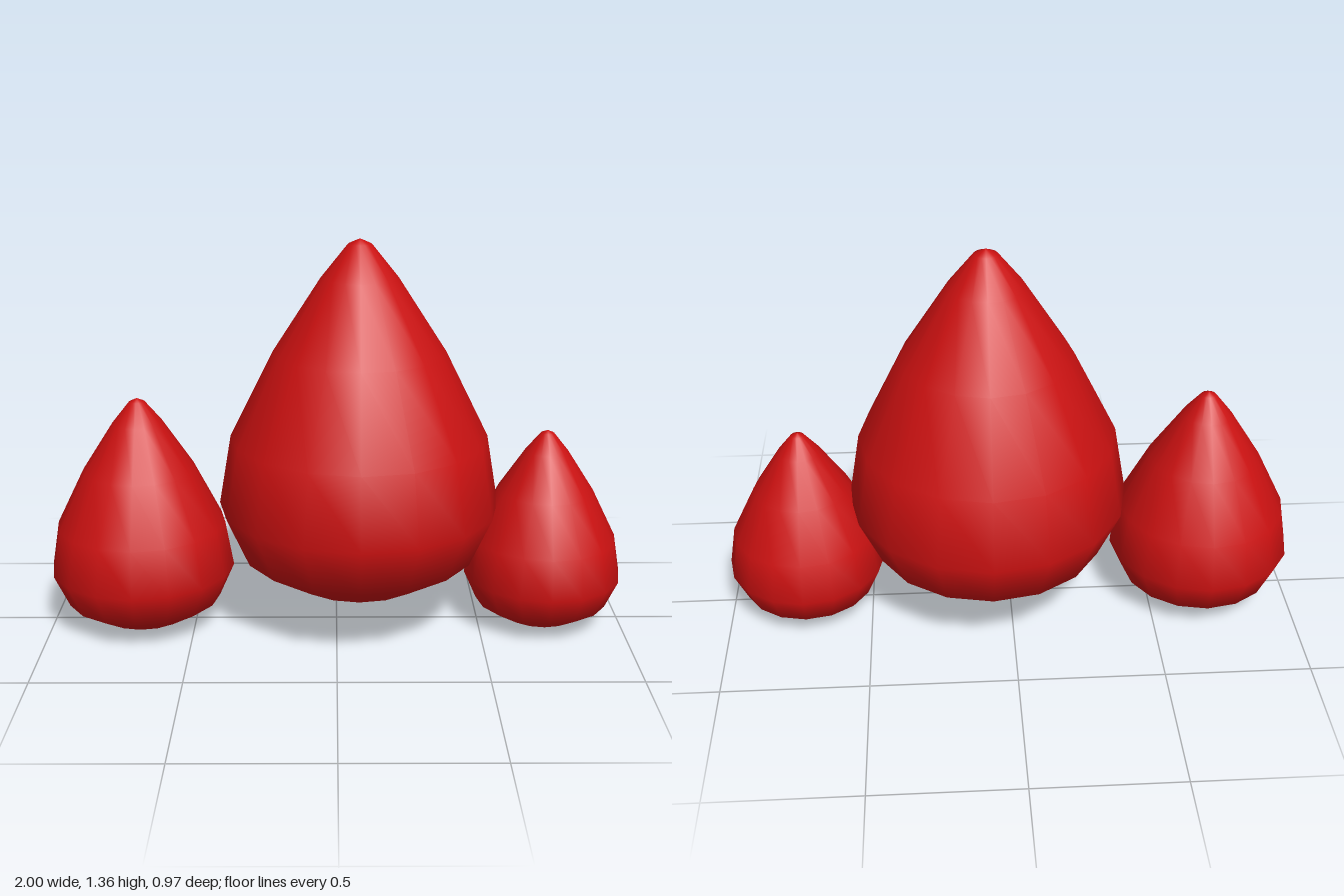
import * as THREE from 'three';

// Drop outline (radius, height) from the flat base to the rounded tip
const PROFILE = [
  [0, 0], [0.232, 0.036], [0.405, 0.139], [0.483, 0.314], [0.441, 0.557],
  [0.293, 0.854], [0.13, 1.106], [0.04, 1.218], [0, 1.236],
];

export function createModel() {
  const group = new THREE.Group();
  const red = new THREE.MeshStandardMaterial({ color: 0xcc1111 });

  function addDrop(name, x, y, scale) {
    const points = PROFILE.map(([r, h]) => new THREE.Vector2(r * scale, h * scale));
    const drop = new THREE.Mesh(new THREE.LatheGeometry(points, 16), red);
    drop.name = name;
    drop.position.set(x, y, 0);
    group.add(drop);
  }

  // One large raised drop between two smaller ones
  addDrop('largeDrop', 0.077, 0.127, 1);
  addDrop('rightDrop', -0.681, 0.002, 0.66);
  addDrop('leftDrop', 0.725, 0.002, 0.567);

  return group;
}
